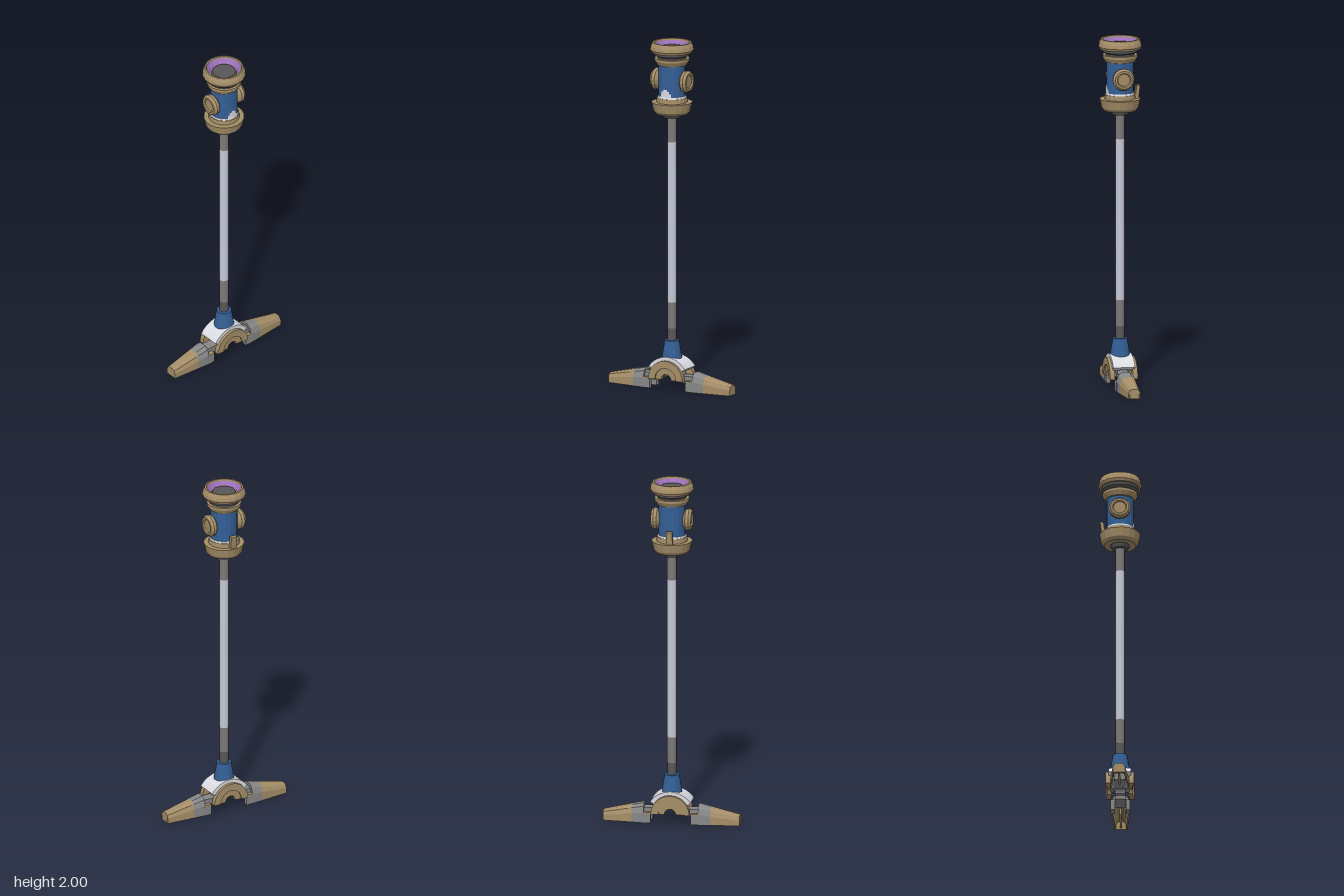
import * as THREE from 'three';

const mat = (name, color) => Object.assign(new THREE.MeshStandardMaterial({ color, side: THREE.DoubleSide, flatShading: true }), { name });

export function createModel() {
  const tan = mat('tan', 0xa58e68), blue = mat('blue', 0x345f96), silver = mat('silver', 0xc6c8d6);
  const white = mat('white', 0xdadce2), grey = mat('grey', 0x878787), steel = mat('steel', 0x7c7a78);
  const dark = mat('dark', 0x585858), purple = mat('purple', 0xa276c0), lilac = mat('lilac', 0xd096d6);
  const root = new THREE.Group();

  const add = (name, geo, material, parent = root) => {
    const m = new THREE.Mesh(geo, material);
    m.name = name;
    parent.add(m);
    return m;
  };
  // Profile points are [radius, height], listed from bottom to top
  const turned = (name, pts, material, parent = root, sides = 18) =>
    add(name, new THREE.LatheGeometry(pts.map(p => new THREE.Vector2(p[0], p[1])), sides), material, parent);
  const box = (name, x0, x1, y0, y1, z0, z1, material, parent = root) => {
    const m = add(name, new THREE.BoxGeometry(x1 - x0, y1 - y0, z1 - z0), material, parent);
    m.position.set((x0 + x1) / 2, (y0 + y1) / 2, (z0 + z1) / 2);
    return m;
  };
  // Part of a ring in the front plane, centred at height cy
  const arch = (name, r0, r1, a0, a1, cy, z0, z1, material) => {
    const s = new THREE.Shape();
    s.absarc(0, cy, r1, a0, a1, false);
    s.absarc(0, cy, r0, a1, a0, true);
    const g = new THREE.ExtrudeGeometry(s, { depth: z1 - z0, bevelEnabled: false, curveSegments: 10 });
    g.translate(0, 0, z0);
    return add(name, g, material);
  };

  // Shaft
  turned('shaftFoot', [[0.026, 0.27], [0.026, 0.35]], dark, root, 14);
  turned('shaftLower', [[0.027, 0.35], [0.027, 0.5]], steel, root, 14);
  turned('shaftMiddle', [[0.027, 0.5], [0.027, 1.425]], silver, root, 14);
  turned('shaftUpper', [[0.027, 1.425], [0.027, 1.58]], steel, root, 14);

  // Head: lower cup, body and collars
  turned('headBase', [[0, 1.565], [0.045, 1.565], [0.057, 1.592]], dark);
  turned('lowerCup', [[0, 1.588], [0.09, 1.588], [0.105, 1.605], [0.116, 1.655], [0.088, 1.655], [0.086, 1.682], [0.07, 1.682]], tan);
  turned('whiteBand', [[0.07, 1.682], [0.083, 1.682], [0.08, 1.692], [0.07, 1.692]], white);
  turned('body', [[0.077, 1.682], [0.077, 1.88]], blue);
  turned('upperCollar', [[0.077, 1.868], [0.085, 1.87], [0.099, 1.895], [0.099, 1.909], [0.08, 1.909]], tan);
  turned('neck', [[0.083, 1.905], [0.083, 1.918], [0.102, 1.928], [0.106, 1.948]], dark);
  turned('topRim', [[0.09, 1.943], [0.117, 1.943], [0.124, 1.958], [0.12, 1.978], [0.11, 2], [0.1, 2], [0.098, 1.99]], tan);

  // Bowl in the top
  turned('bowl', [[0.083, 1.953], [0.098, 1.99]], purple);
  turned('bowlRing', [[0.073, 1.953], [0.084, 1.953]], lilac);
  turned('bowlCore', [[0.075, 1.953], [0.065, 1.973], [0, 1.973]], dark);

  // Side knobs
  for (const s of [1, -1]) {
    const k = turned('sideKnob', [[0.03, 0.045], [0.036, 0.062], [0.061, 0.082], [0.063, 0.1], [0.052, 0.115],
      [0.04, 0.115], [0.035, 0.107], [0, 0.107]], tan, root, 16);
    k.rotation.z = -s * Math.PI / 2;
    k.position.y = 1.78;
  }

  // Front plate on the body and rear clip
  for (const [half, y0, y1] of [[0.42, 1.692, 1.712], [0.3, 1.712, 1.728], [0.15, 1.728, 1.738]]) {
    const g = new THREE.CylinderGeometry(0.081, 0.081, y1 - y0, 6, 1, true, -half, half * 2);
    add('frontPlate', g, white).position.y = (y0 + y1) / 2;
  }
  const clip = box('rearClip', -0.018, 0.018, 1.65, 1.73, -0.108, -0.088, tan);
  clip.rotation.x = -0.12;
  box('rearClipBase', -0.013, 0.013, 1.66, 1.69, -0.095, -0.07, tan);

  // Socket and hinge
  turned('socket', [[0, 0.165], [0.06, 0.165], [0.056, 0.19], [0.042, 0.28], [0, 0.28]], blue, root, 14);
  arch('hingeCover', 0.105, 0.14, 0.6, Math.PI - 0.6, 0.05, -0.063, 0.063, white);
  arch('hingeCore', 0.036, 0.08, 0.1, Math.PI - 0.1, 0.06, -0.03, 0.03, grey);
  turned('hingeStud', [[0, 0.088], [0.024, 0.088], [0.024, 0.15]], purple, root, 12);
  for (const s of [1, -1]) {
    const span = (a, b) => s > 0 ? [a, b] : [-b, -a];
    arch('hingeRing', 0.068, 0.11, 0, Math.PI, 0.06, ...span(0.052, 0.08), tan);
    arch('hingeInnerRing', 0.032, 0.068, 0, Math.PI, 0.06, ...span(0.045, 0.072), tan);
  }

  // Hollow arched shell between two sections [x, halfWidth, height]
  const shell = (name, a, b, material, parent) => {
    const half = [[1, 0], [1, 0.55], [0.78, 0.86], [0.4, 1]];
    const outer = [...half, ...half.map(([z, y]) => [-z, y]).reverse()];
    const loop = [...outer, ...outer.map(([z, y]) => [z * 0.8, y * 0.85]).reverse()];
    const pos = [], idx = [], n = loop.length;
    for (const [x, w, h] of [a, b]) for (const [z, y] of loop) pos.push(x, y * h, z * w);
    for (let i = 0; i < n; i++) {
      const j = (i + 1) % n;
      idx.push(i, i + n, j, j, i + n, j + n);
    }
    for (const o of [0, n]) for (let i = 0; i < 7; i++) {
      const q = [o + i, o + i + 1, o + n - 2 - i, o + n - 1 - i];
      if (o) idx.push(q[0], q[2], q[1], q[0], q[3], q[2]);
      else idx.push(q[0], q[1], q[2], q[0], q[2], q[3]);
    }
    const g = new THREE.BufferGeometry();
    g.setAttribute('position', new THREE.Float32BufferAttribute(pos, 3));
    g.setIndex(idx);
    g.computeVertexNormals();
    add(name, g, material, parent);
  };

  // Feet, the second one turned half around
  for (const side of ['left', 'right']) {
    const foot = new THREE.Group();
    foot.name = side + 'Foot';
    if (side === 'right') foot.rotation.y = Math.PI;
    root.add(foot);
    shell('footShell', [0.155, 0.055, 0.11], [0.225, 0.049, 0.094], grey, foot);
    shell('footToe', [0.225, 0.049, 0.094], [0.39, 0.035, 0.056], tan, foot);
    box('toeCap', 0.382, 0.39, 0, 0.05, -0.027, 0.027, tan, foot);
    box('footRib', 0.2, 0.385, 0.01, 0.045, -0.006, 0.006, tan, foot);
    box('footLink', 0.07, 0.19, 0.045, 0.085, -0.03, 0.03, grey, foot);
    for (const s of [1, -1]) {
      const z = [s * 0.031, s * 0.055].sort((p, q) => p - q);
      box('footFork', 0.115, 0.165, 0, 0.055, ...z, grey, foot);
      box('forkTop', 0.115, 0.155, 0.055, 0.062, ...z, tan, foot);
    }
  }
  return root;
}
